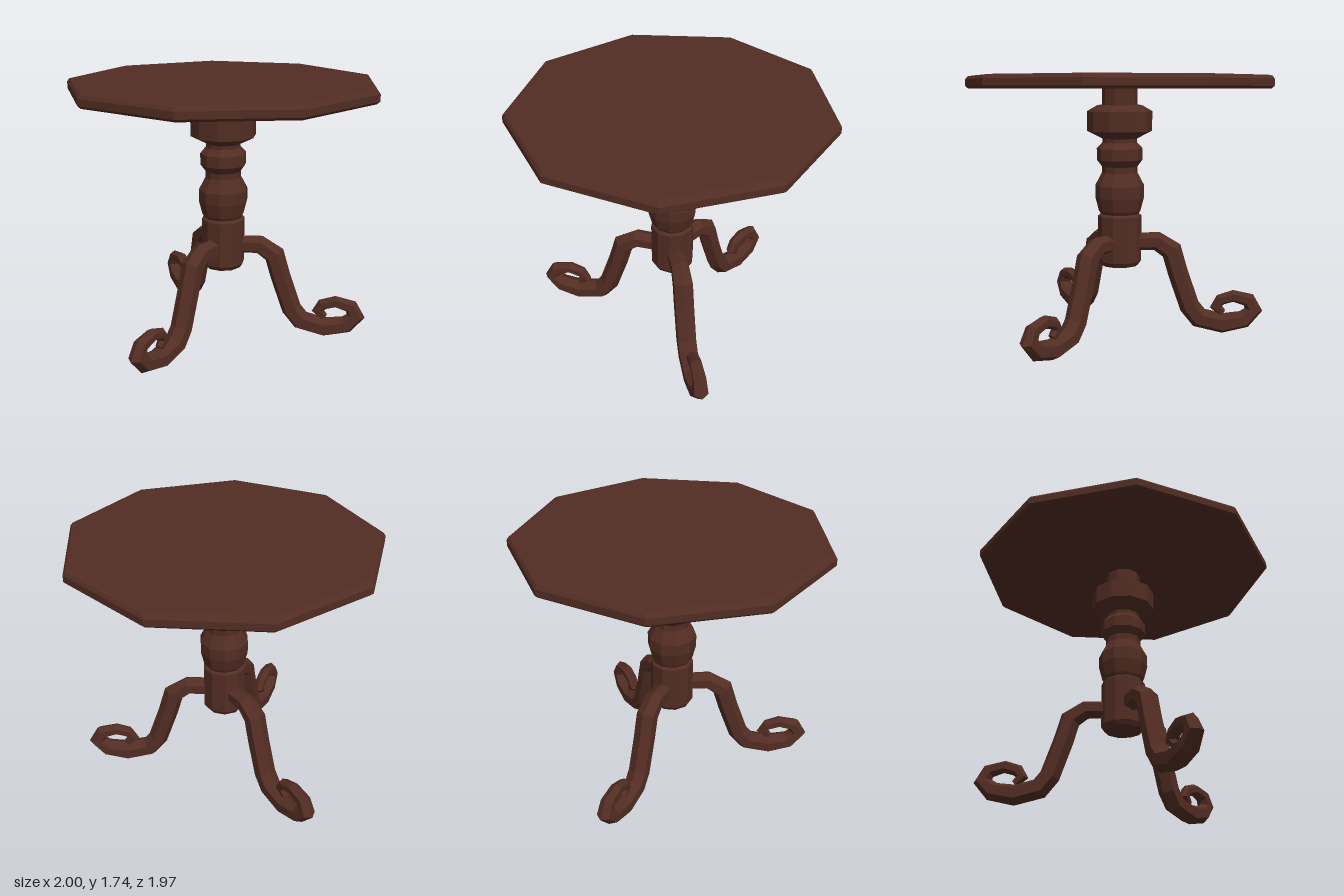
import * as THREE from 'three';

const rad = THREE.MathUtils.degToRad;
const CENTRE_Z = 0.03; // the round parts share this axis

// Faceted turned part from [radius, y] pairs, listed bottom to top
function turned(name, profile, sides, startDeg, material) {
  const points = profile.map(([r, y]) => new THREE.Vector2(r, y));
  const mesh = new THREE.Mesh(new THREE.LatheGeometry(points, sides, rad(startDeg), Math.PI * 2), material);
  mesh.name = name;
  return mesh;
}

// Six-sided bar swept along a flat path of [x, y, halfThickness]
function sweptBar(path) {
  const SIDES = 6;
  const positions = [];
  const index = [];
  const dir = (a, b) => new THREE.Vector2(b[0] - a[0], b[1] - a[1]).normalize();
  path.forEach((p, i) => {
    const before = dir(path[Math.max(i - 1, 0)], path[Math.max(i, 1)]);
    const last = path.length - 1;
    const after = dir(path[Math.min(i, last - 1)], path[Math.min(i + 1, last)]);
    const t = before.clone().add(after).normalize();
    const half = p[2] / Math.max(t.dot(after), 0.8); // mitred corner
    for (let j = 0; j < SIDES; j++) {
      const a = (j / SIDES) * Math.PI * 2;
      const n = half * Math.cos(a);
      positions.push(p[0] - t.y * n, p[1] + t.x * n, p[2] * 1.05 * Math.sin(a));
    }
  });
  for (let i = 0; i < path.length - 1; i++) {
    for (let j = 0; j < SIDES; j++) {
      const k = (j + 1) % SIDES;
      const a = i * SIDES + j, b = i * SIDES + k;
      index.push(a, b, a + SIDES, b, b + SIDES, a + SIDES);
    }
  }
  const end = (path.length - 1) * SIDES;
  for (let j = 1; j < SIDES - 1; j++) {
    index.push(0, j + 1, j, end, end + j, end + j + 1);
  }
  const geometry = new THREE.BufferGeometry();
  geometry.setAttribute('position', new THREE.Float32BufferAttribute(positions, 3));
  geometry.setIndex(index);
  geometry.computeVertexNormals();
  return geometry;
}

export function createModel() {
  const model = new THREE.Group();
  model.name = 'pedestalTable';
  const wood = new THREE.MeshStandardMaterial({ color: 0x522d23, flatShading: true });
  wood.name = 'dark wood';

  // Nine-sided top with bevelled rim
  const top = turned('tableTop', [
    [0, 1.655], [0.995, 1.655], [1.015, 1.672], [1.015, 1.715], [1.0, 1.735], [0.97, 1.74], [0, 1.74],
  ], 9, 20, wood);

  // Ten-sided turned column
  const column = turned('column', [
    [0, 0.48], [0.125, 0.48], [0.145, 0.51], [0.145, 0.815], [0.128, 0.83], [0.14, 0.85],
    [0.163, 0.94], [0.163, 1.02], [0.118, 1.105], [0.118, 1.145], [0.152, 1.19], [0.152, 1.265],
    [0.115, 1.305], [0.115, 1.33], [0.215, 1.38], [0.215, 1.51], [0.145, 1.55], [0.117, 1.535],
    [0.117, 1.66],
  ], 10, 18, wood);

  for (const part of [top, column]) {
    part.position.z = CENTRE_Z;
    model.add(part);
  }

  // Three legs with scrolled feet
  const legGeometry = sweptBar([
    [0.08, 0.635, 0.06], [0.25, 0.64, 0.062], [0.35, 0.575, 0.068], [0.395, 0.42, 0.068],
    [0.475, 0.19, 0.068], [0.54, 0.11, 0.068], [0.70, 0.072, 0.068], [0.845, 0.1, 0.06],
    [0.91, 0.168, 0.05], [0.875, 0.235, 0.045], [0.77, 0.262, 0.04], [0.685, 0.235, 0.038],
    [0.655, 0.187, 0.034], [0.70, 0.145, 0.026],
  ]);
  [170, 55, -70].forEach((angle, i) => {
    const leg = new THREE.Mesh(legGeometry, wood);
    leg.name = `leg${i + 1}`;
    leg.position.z = CENTRE_Z;
    leg.rotation.y = -rad(angle);
    model.add(leg);
  });

  return model;
}
